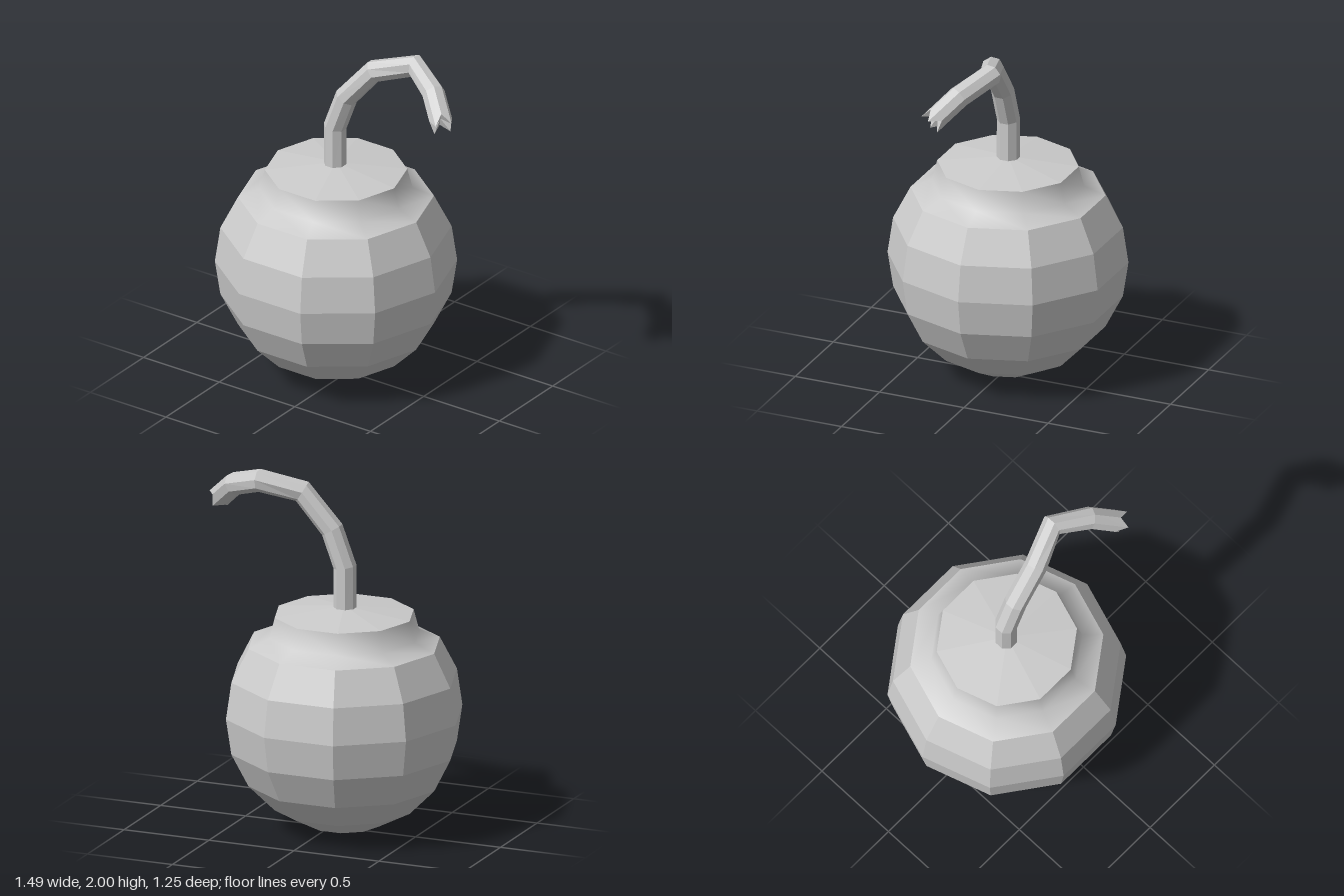
import * as THREE from 'three';

const flat = new THREE.MeshStandardMaterial({ color: 0xcccccc, flatShading: true });
const smooth = new THREE.MeshStandardMaterial({ color: 0xcccccc });
const flatDouble = new THREE.MeshStandardMaterial({ color: 0xcccccc, flatShading: true, side: THREE.DoubleSide });

const BODY_X = -0.08;

// Ten-sided turned part with a corner pointing along +x
function turned(name, profile, material) {
  const points = profile.map(([r, y]) => new THREE.Vector2(r, y));
  const mesh = new THREE.Mesh(new THREE.LatheGeometry(points, 10, Math.PI / 2), material);
  mesh.name = name;
  mesh.position.x = BODY_X;
  return mesh;
}

// Eight-sided bent cord with a frayed, recessed tip
function fuseGeometry(path, radius, sides) {
  const pts = path.map((p) => new THREE.Vector3(...p));
  const last = pts.length - 1;
  const positions = [];
  const index = [];
  const tangent = new THREE.Vector3(0, 1, 0);
  const u = new THREE.Vector3(1, 0, 0);
  const turn = new THREE.Quaternion();

  pts.forEach((p, i) => {
    // Average the directions of the neighbouring segments, carrying the frame along
    const next = new THREE.Vector3();
    if (i > 0) next.add(p.clone().sub(pts[i - 1]).normalize());
    if (i < last) next.add(pts[i + 1].clone().sub(p).normalize());
    next.normalize();
    u.applyQuaternion(turn.setFromUnitVectors(tangent, next));
    tangent.copy(next);
    const v = new THREE.Vector3().crossVectors(tangent, u);

    for (let k = 0; k < sides; k++) {
      const a = ((k + 0.5) / sides) * Math.PI * 2;
      const fray = i === last ? (k % 2 ? 0.035 : -0.025) : 0;
      const q = p.clone()
        .addScaledVector(u, radius * Math.cos(a))
        .addScaledVector(v, radius * Math.sin(a))
        .addScaledVector(tangent, fray);
      positions.push(q.x, q.y, q.z);
      if (i < last) {
        const n = (k + 1) % sides;
        const a0 = i * sides + k, b0 = i * sides + n;
        index.push(a0, b0, b0 + sides, a0, b0 + sides, a0 + sides);
      }
    }
  });

  // Recessed end cap
  const c = pts[last].clone().addScaledVector(tangent, -0.03);
  positions.push(c.x, c.y, c.z);
  const center = pts.length * sides;
  for (let k = 0; k < sides; k++) {
    index.push(last * sides + k, last * sides + ((k + 1) % sides), center);
  }

  const geo = new THREE.BufferGeometry();
  geo.setAttribute('position', new THREE.Float32BufferAttribute(positions, 3));
  geo.setIndex(index);
  geo.computeVertexNormals();
  return geo;
}

export function createModel() {
  const group = new THREE.Group();
  group.name = 'roundBomb';

  // Faceted round body
  group.add(turned('body', [
    [0, 0.005], [0.2, 0.035], [0.385, 0.13], [0.53, 0.275], [0.625, 0.46],
    [0.655, 0.66], [0.625, 0.865], [0.53, 1.05],
  ], flat));

  // Softly shaded collar and its shallow lid
  group.add(turned('collar', [[0.53, 1.05], [0.415, 1.1], [0.385, 1.215]], smooth));
  group.add(turned('lid', [[0.385, 1.215], [0, 1.26]], flat));

  // Curved fuse
  const fuse = new THREE.Mesh(fuseGeometry([
    [-0.085, 1.24, 0], [-0.085, 1.48, 0], [-0.01, 1.68, 0], [0.16, 1.88, -0.015],
    [0.375, 1.94, -0.1], [0.565, 1.872, 0], [0.685, 1.765, 0.095],
  ], 0.063, 8), flatDouble);
  fuse.name = 'fuse';
  group.add(fuse);

  return group;
}
